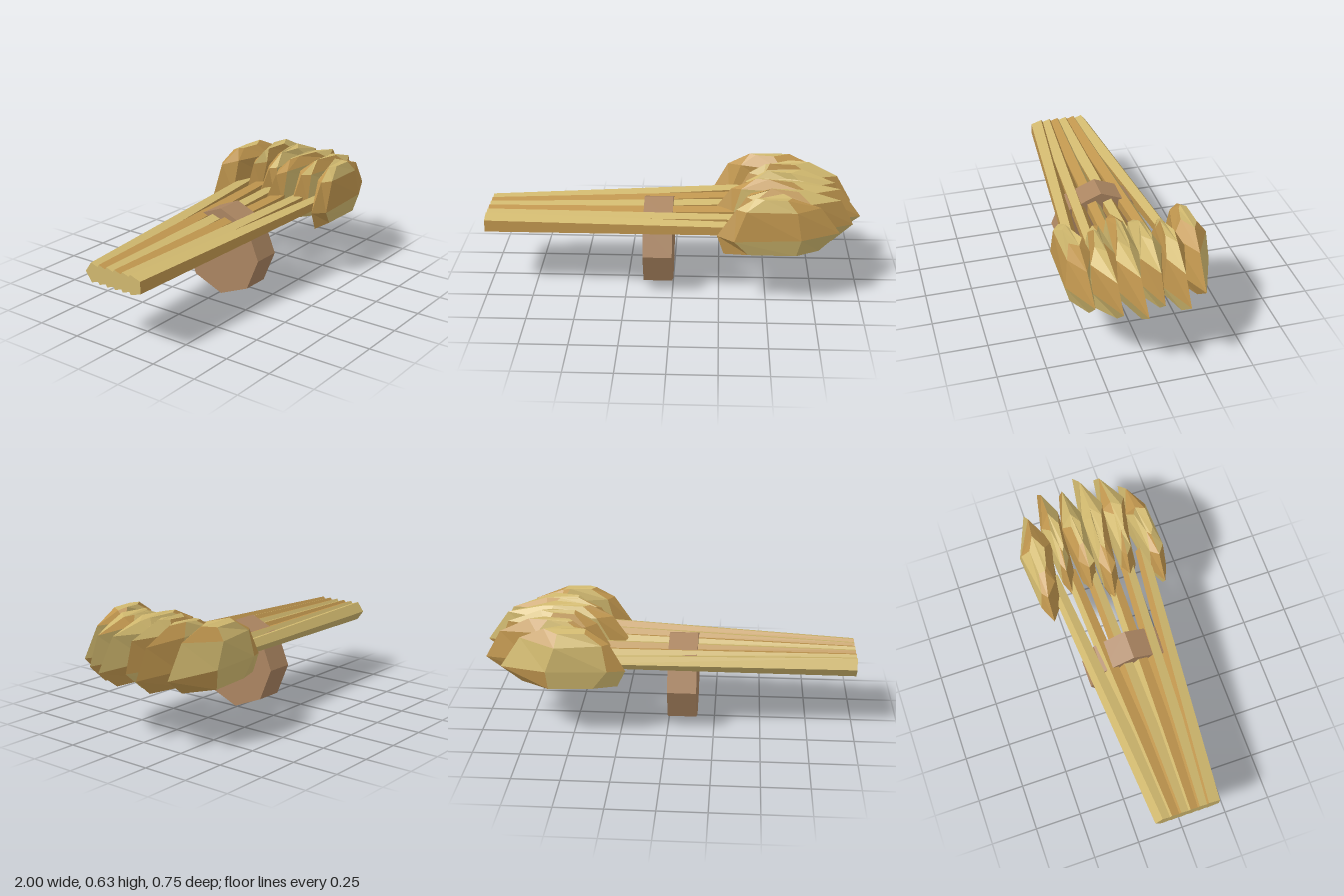
import * as THREE from 'three';

// Two straw tones for the facets, one wood tone for the binding block
const straw = new THREE.MeshStandardMaterial({ color: 0xd0b86e });
straw.name = 'light straw';
const amber = new THREE.MeshStandardMaterial({ color: 0xc0964e });
amber.name = 'amber straw';
const wood = new THREE.MeshStandardMaterial({ color: 0xab8561 });
wood.name = 'wood';
for (const m of [straw, amber, wood]) m.flatShading = true;

function seeded(seed) {
  let s = seed;
  return () => {
    s = (s * 16807) % 2147483647;
    return s / 2147483647;
  };
}

// Skin a stack of rings; tone(layer, side) picks 0 (straw) or 1 (amber)
function loft(name, rings, tone) {
  const buckets = [[], []];
  const n = rings[0].length;
  const tri = (c, a, b, d) => buckets[c].push(...a, ...b, ...d);
  for (let i = 0; i < rings.length - 1; i++) {
    for (let j = 0; j < n; j++) {
      const k = (j + 1) % n, c = tone(i, j);
      tri(c, rings[i][j], rings[i + 1][j], rings[i + 1][k]);
      tri(c, rings[i][j], rings[i + 1][k], rings[i][k]);
    }
  }
  // End caps
  const first = rings[0], last = rings[rings.length - 1];
  for (let j = 1; j < n - 1; j++) {
    tri(0, first[0], first[j], first[j + 1]);
    tri(0, last[0], last[j + 1], last[j]);
  }
  const geo = new THREE.BufferGeometry();
  geo.setAttribute('position', new THREE.Float32BufferAttribute([...buckets[0], ...buckets[1]], 3));
  const split = buckets[0].length / 3;
  geo.addGroup(0, split, 0);
  geo.addGroup(split, buckets[1].length / 3, 1);
  geo.computeVertexNormals();
  const mesh = new THREE.Mesh(geo, [straw, amber]);
  mesh.name = name;
  return mesh;
}

// Tapered five-sided stalk fanning out toward the heads
function stalk(k) {
  const ring = (x, spread, y, r) => Array.from({ length: 5 }, (_, j) => {
    const a = (-36 + 72 * j) * Math.PI / 180;
    return [x, y + r * Math.sin(a), 0.015 + (k - 2.5) * spread + r * Math.cos(a)];
  });
  const topTone = [0, 1, 0, 1, 0, 0][k];
  const sides = k === 0 ? [1, 0, 0, 0, 1] : [1, topTone, 1 - topTone, 1, k % 2];
  return loft('stalk', [
    ring(-1, 0.05, 0.378, 0.055),
    ring(0.45, 0.103, 0.424, 0.036),
  ], (i, j) => sides[j]);
}

// Plan outline of a head: fraction of length, fraction of half width
const outline = [[1, 0], [0.68, 1], [0.14, 0.65], [0, 0], [0.14, -0.55], [0.62, -1]];
// Layers from the bottom up: height, length scale, width scale
const layers = [
  [0.315, 0.78, 0.75],
  [0.405, 1, 1],
  [0.562, 0.76, 0.87],
  [0.62, 0.34, 0.4],
];

function head(k, [x0, x1, zStart, zMid, zTip, w]) {
  const rnd = seeded(917 + k * 331);
  const jitter = (amount) => (rnd() - 0.5) * amount;
  const xMid = x0 + (x1 - x0) * 0.46;
  const rings = layers.map(([y, sx, sz], i) => outline.map(([u, v]) => {
    const spine = u === 1 ? zTip : u < 0.5 ? THREE.MathUtils.lerp(zStart, zMid, u * 2) : zMid;
    const loose = i === 1 ? 0 : 1;
    return [
      xMid + (x0 + (x1 - x0) * u - xMid) * sx + jitter(0.06) * loose,
      y + jitter(i === 0 ? 0 : 0.025),
      zMid + (spine + v * w - zMid) * sz + jitter(0.02) * loose,
    ];
  }));
  // Facet tones per layer, going round from the front of the tip
  const tones = [
    [0, 0, 1, 0, 0, 1],
    [1, 1, 0, 1, 0, 0],
    [0, 1, 0, 1, 0, 1],
  ];
  return loft('grainHead', rings, (i, j) => (rnd() < 0.2 ? 1 - tones[i][j] : tones[i][j]));
}

export function createModel() {
  const model = new THREE.Group();
  model.name = 'bundle';

  // Start x, tip x, start z, middle z, tip z, half width; back to front
  const heads = [
    [0.21, 0.87, -0.31, -0.285, -0.28, 0.093],
    [0.32, 0.97, -0.165, -0.158, -0.17, 0.064],
    [0.3, 0.92, -0.06, -0.047, -0.055, 0.068],
    [0.2, 1, 0.04, 0.072, 0.05, 0.07],
    [0.29, 0.95, 0.16, 0.192, 0.16, 0.07],
    [0.235, 0.87, 0.335, 0.305, 0.278, 0.071],
  ];
  heads.forEach((data, k) => model.add(stalk(k), head(k, data)));

  // Eight-sided binding block the stalks pass through
  const block = new THREE.Mesh(new THREE.CylinderGeometry(0.245, 0.245, 0.155, 8), wood);
  block.name = 'bindingBlock';
  block.rotation.z = Math.PI / 2;
  block.position.set(-0.078, 0.245, 0.015);
  model.add(block);

  return model;
}
